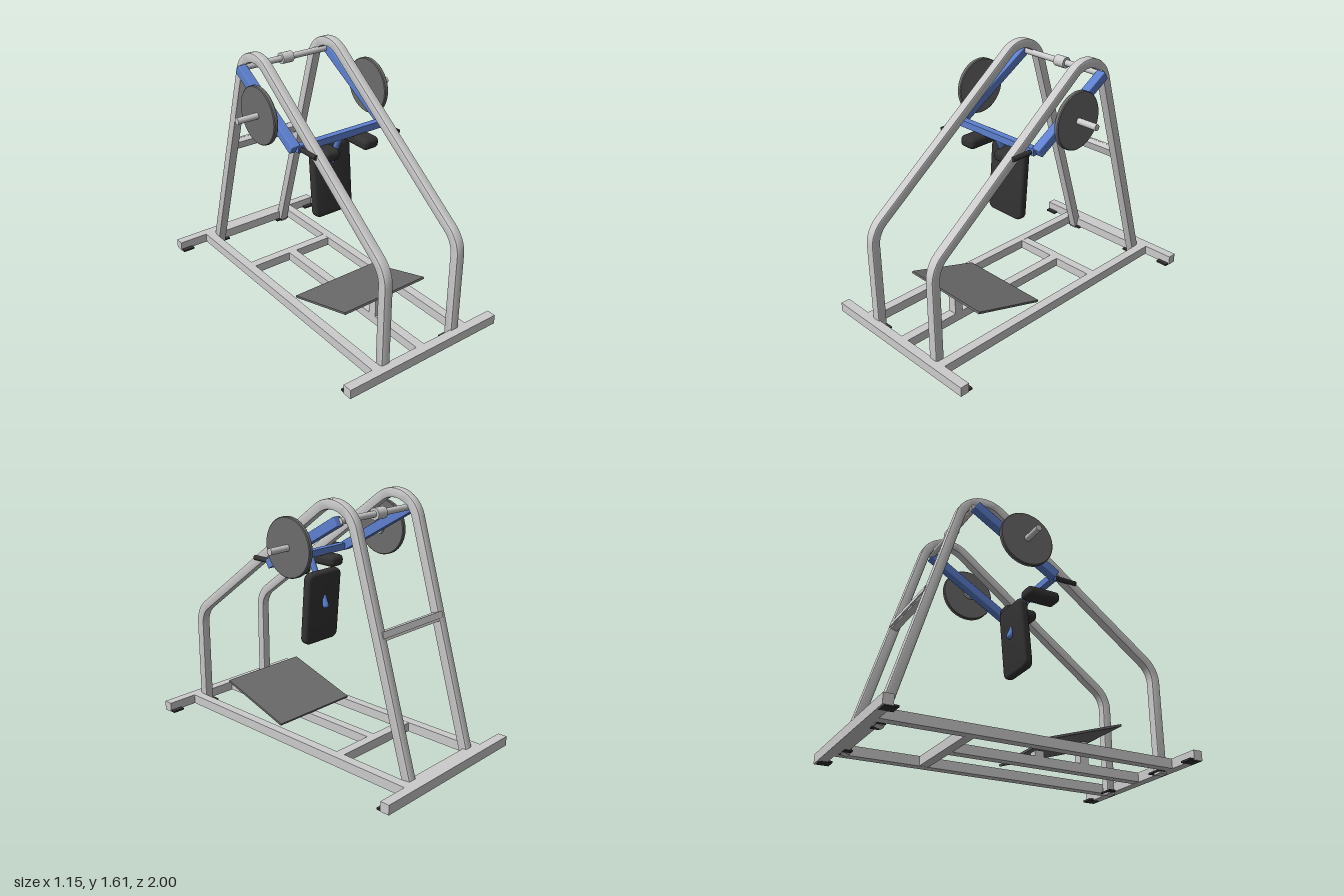
import * as THREE from 'three';
import { toCreasedNormals } from 'three/addons/utils/BufferGeometryUtils.js';
import { RoundedBoxGeometry } from 'three/addons/geometries/RoundedBoxGeometry.js';

const mat = (color) => new THREE.MeshStandardMaterial({ color });
const steel = mat(0xcccccc), blue = mat(0x5d80d0), dark = mat(0x333333), plateGrey = mat(0x6c6c6c);

export function createModel() {
  const model = new THREE.Group();

  const add = (name, geo, material, x = 0, y = 0, z = 0, rotX = 0) => {
    const m = new THREE.Mesh(geo, material);
    m.name = name;
    m.position.set(x, y, z);
    m.rotation.x = rotX;
    model.add(m);
  };
  const box = (name, material, size, pos, rotX = 0) =>
    add(name, new THREE.BoxGeometry(...size), material, ...pos, rotX);
  // Cylinder lying along x
  const rod = (name, material, radius, x0, x1, y, z) => {
    const geo = new THREE.CylinderGeometry(radius, radius, Math.abs(x1 - x0), 28);
    geo.rotateZ(Math.PI / 2);
    add(name, geo, material, (x0 + x1) / 2, y, z);
  };

  // Floor frame
  for (const s of [1, -1]) {
    box(s > 0 ? 'frontBaseBar' : 'rearBaseBar', steel, [1.15, 0.062, 0.06], [0, 0.045, s * 0.97]);
    box('baseRail', steel, [0.06, 0.062, 1.88], [s * 0.34, 0.045, 0]);
    for (const t of [1, -1]) {
      box('foot', dark, [0.08, 0.012, 0.08], [s * 0.53, 0.018, t * 0.95]);
      box('uprightFoot', dark, [0.1, 0.01, 0.05], [s * 0.26, 0.013, t * 0.905]);
    }
  }
  box('rearInnerBar', steel, [0.62, 0.062, 0.04], [0, 0.045, -0.92]);
  box('baseCrossBar', steel, [0.62, 0.06, 0.06], [0, 0.045, -0.4]);
  box('centreRail', steel, [0.06, 0.06, 1.32], [0, 0.045, 0.28]);

  // Foot platform with its two posts
  box('footPlatform', plateGrey, [0.63, 0.014, 0.53], [0, 0.175, 0.367], -Math.atan2(0.16, 0.505));
  box('platformFrontPost', steel, [0.06, 0.15, 0.06], [0, 0.145, 0.532]);
  box('platformRearPost', steel, [0.06, 0.045, 0.06], [0, 0.09, 0.208]);

  // Bent side frames: a filleted centreline in (z, y), offset to both sides
  const corners = [[0.92, 0.003], [0.92, 0.686], [-0.406, 1.69], [-0.912, 0.012]]
    .map((p) => new THREE.Vector2(...p));
  const line = [corners[0]];
  for (const i of [1, 2]) {
    const c = corners[i], r = 0.18;
    const a = corners[i - 1].clone().sub(c).normalize();
    const b = corners[i + 1].clone().sub(c).normalize();
    const half = Math.acos(a.dot(b)) / 2;
    const centre = c.clone().addScaledVector(a.clone().add(b).normalize(), r / Math.sin(half));
    const start = c.clone().addScaledVector(a, r / Math.tan(half)).sub(centre);
    const end = c.clone().addScaledVector(b, r / Math.tan(half)).sub(centre);
    const sweep = Math.sign(start.cross(end)) * (Math.PI - 2 * half);
    for (let k = 0; k <= 16; k++) {
      line.push(start.clone().rotateAround(new THREE.Vector2(), sweep * k / 16).add(centre));
    }
  }
  line.push(corners[3]);
  const offset = (d) => line.map((p, i) => {
    const t = line[Math.min(i + 1, line.length - 1)].clone().sub(line[Math.max(i - 1, 0)]);
    // Straight runs keep their own direction at the tangent points
    if (i === 1 || i === 18) t.copy(p).sub(line[i - 1]);
    if (i === 17 || i === 34) t.copy(line[i + 1]).sub(p);
    t.normalize();
    return new THREE.Vector2(p.x - t.y * d, p.y + t.x * d);
  });
  const bevel = 0.008, w = 0.03 - bevel;
  const outline = new THREE.Shape([...offset(w), ...offset(-w).reverse()]);
  let frameGeo = new THREE.ExtrudeGeometry(outline, {
    depth: 2 * w, bevelThickness: bevel, bevelSize: bevel, bevelSegments: 2,
  });
  frameGeo.translate(0, 0, -w);
  frameGeo.rotateY(-Math.PI / 2);
  frameGeo = toCreasedNormals(frameGeo, 0.5);
  for (const s of [1, -1]) add('sideFrame', frameGeo, steel, s * 0.275);

  // Brace between the rear legs
  const legTilt = Math.atan2(0.506, 1.678);
  box('rearBrace', steel, [0.5, 0.055, 0.04], [0, 0.865, -0.66], legTilt);
  box('rearBracePlate', steel, [0.55, 0.04, 0.01], [0, 0.88, -0.682], legTilt);

  // Pivot shaft
  rod('pivotShaft', steel, 0.02, -0.33, 0.33, 1.492, -0.405);
  rod('pivotSleeve', steel, 0.036, -0.04, 0.04, 1.492, -0.405);

  // Swing arms, weight pegs, discs and grips
  const armTilt = Math.atan2(0.515, 0.857);
  const discProfile = [[0, -0.015], [0.176, -0.015], [0.181, -0.01], [0.181, 0.01], [0.176, 0.015], [0, 0.015]]
    .map((p) => new THREE.Vector2(...p));
  let discGeo = new THREE.LatheGeometry(discProfile, 48);
  discGeo.rotateZ(Math.PI / 2);
  discGeo = toCreasedNormals(discGeo, 0.5);
  const gripGeo = new THREE.CylinderGeometry(0.015, 0.015, 0.14, 20);
  gripGeo.rotateX(Math.PI / 2);
  for (const s of [1, -1]) {
    add('swingArm', new RoundedBoxGeometry(0.06, 0.06, 0.657, 2, 0.006), blue, s * 0.336, 1.325, -0.12, armTilt);
    rod('pegCollar', steel, 0.043, s * 0.36, s * 0.38, 1.308, -0.088);
    rod('weightPeg', steel, 0.02, s * 0.36, s * 0.567, 1.308, -0.088);
    add('weightDisc', discGeo, plateGrey, s * 0.414, 1.308, -0.088);
    add('handGrip', gripGeo, dark, s * 0.308, 1.16, 0.26);
  }
  box('armCrossBar', blue, [0.65, 0.044, 0.044], [0, 1.158, 0.158]);

  // Post carrying the pads, passing through the back pad
  add('padPost', new THREE.CapsuleGeometry(0.02, 0.3, 6, 16), blue, 0, 0.985, 0.08, Math.atan2(0.125, 0.275));

  // Back pad: rounded outline with soft edges
  const px = 0.125, py = 0.217, pr = 0.025;
  const padShape = new THREE.Shape();
  padShape.absarc(px - pr, py - pr, pr, 0, Math.PI / 2);
  padShape.absarc(-px + pr, py - pr, pr, Math.PI / 2, Math.PI);
  padShape.absarc(-px + pr, -py + pr, pr, Math.PI, Math.PI * 1.5);
  padShape.absarc(px - pr, -py + pr, pr, Math.PI * 1.5, Math.PI * 2);
  const padGeo = new THREE.ExtrudeGeometry(padShape, {
    depth: 0.02, bevelThickness: 0.02, bevelSize: 0.02, bevelSegments: 5, curveSegments: 8,
  });
  padGeo.translate(0, 0, -0.01);
  add('backPad', toCreasedNormals(padGeo, 0.6), dark, 0, 0.836, 0.062, -0.08);

  // Shoulder pads
  const shoulderGeo = new RoundedBoxGeometry(0.116, 0.074, 0.236, 4, 0.03);
  for (const s of [1, -1]) add('shoulderPad', shoulderGeo, dark, s * 0.147, 1.102, 0.165);

  return model;
}
